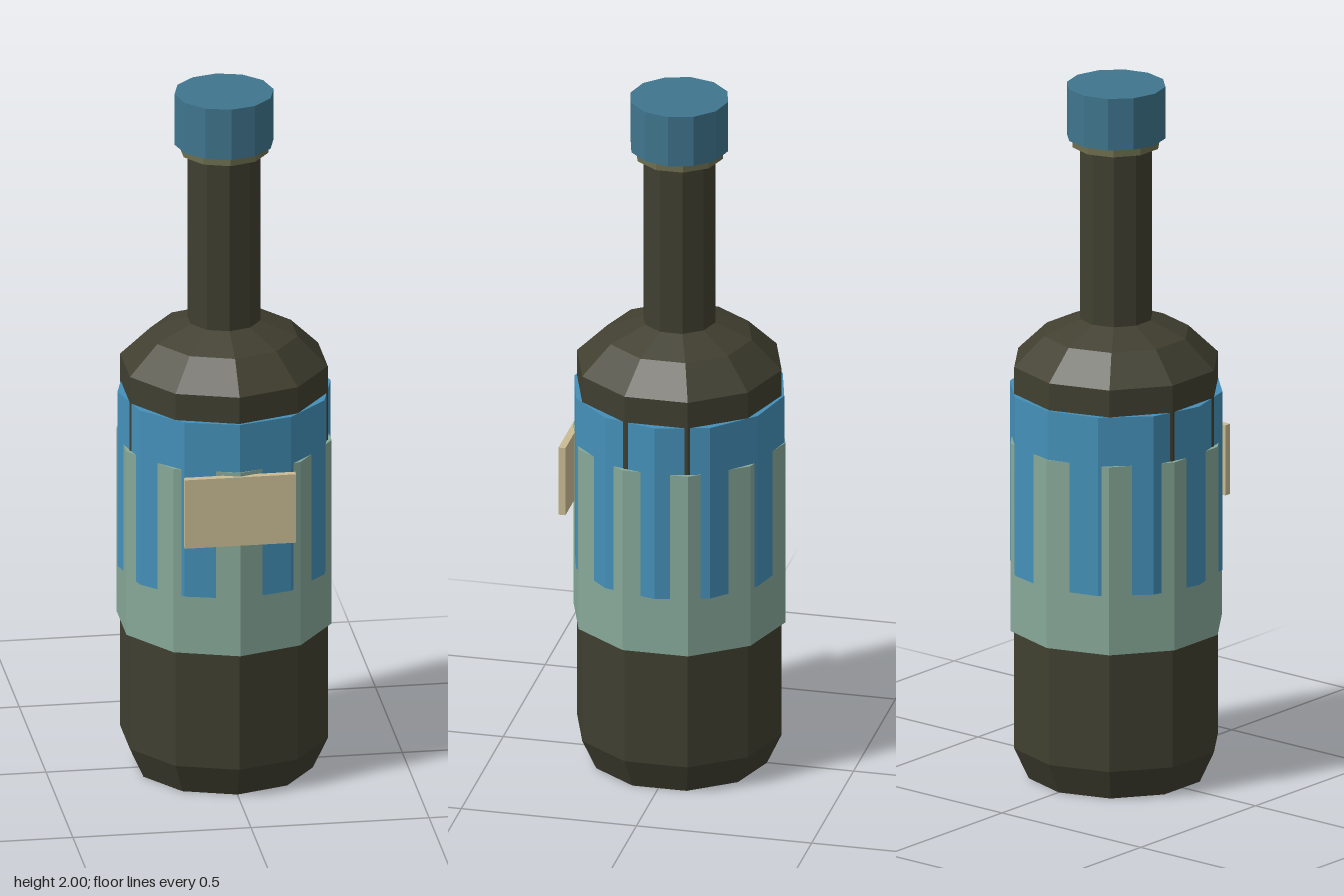
import * as THREE from 'three';

const paint = (name, color) => {
  const m = new THREE.MeshStandardMaterial({ color, flatShading: true });
  m.name = name;
  return m;
};

export function createModel() {
  const glass = paint('dark olive glass', 0x403f30);
  const green = paint('sage green', 0x86a898);
  const blue = paint('band blue', 0x4490b8);
  const capBlue = paint('cap blue', 0x3f758d);
  const tan = paint('tan paper', 0xcabc94);
  const olive = paint('olive', 0x6c6e4e);

  const group = new THREE.Group();
  const add = (name, geometry, material, y, z = -0.003) => {
    const mesh = new THREE.Mesh(geometry, material);
    mesh.name = name;
    mesh.position.set(0, y, z);
    group.add(mesh);
  };
  // Faceted closed ring or disc between two heights
  const drum = (name, radius, bottom, top, sides, material) =>
    add(name, new THREE.CylinderGeometry(radius, radius, top - bottom, sides), material, (bottom + top) / 2);

  // Ten-sided bottle from base to neck
  const profile = [
    [0, 0], [0.25, 0], [0.292, 0.09], [0.292, 1.2], [0.207, 1.283],
    [0.103, 1.325], [0.103, 1.84], [0, 1.84],
  ].map(([r, y]) => new THREE.Vector2(r, y));
  add('bottle', new THREE.LatheGeometry(profile, 10), glass, 0);

  // Two bands with different side counts, crossing each other to form the stripes
  drum('lowerBand', 0.303, 0.433, 0.98, 10, green);
  drum('upperBand', 0.2993, 0.603, 1.122, 12, blue);

  // Neck collar and cap
  drum('neckCollar', 0.125, 1.826, 1.856, 10, olive);
  drum('cap', 0.139, 1.85, 2, 12, capBlue);

  // Flat front label
  add('frontLabel', new THREE.BoxGeometry(0.312, 0.204, 0.02), tan, 0.867, 0.295);

  return group;
}
